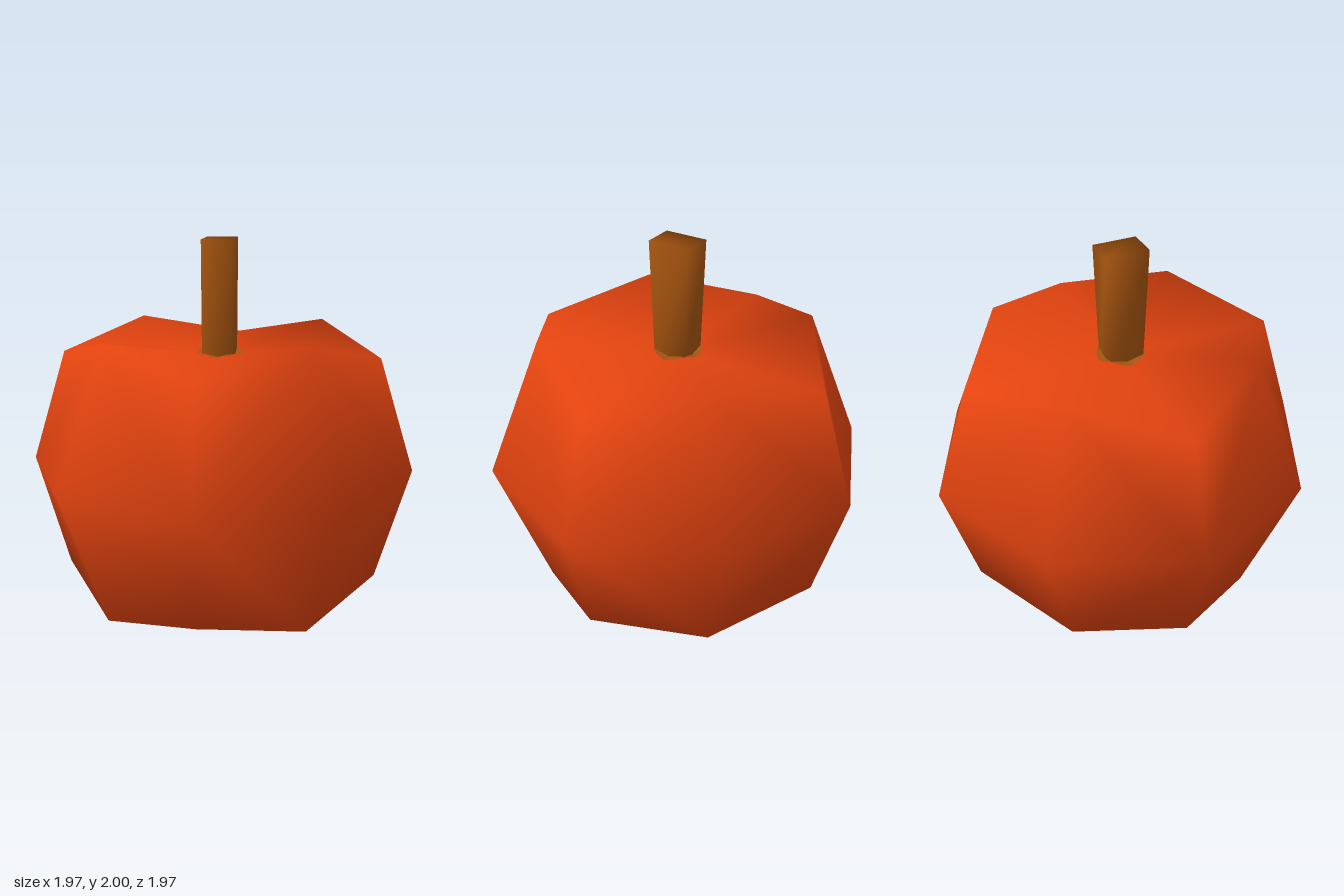
import * as THREE from 'three';

const skin = new THREE.MeshStandardMaterial({ color: 0xe2430f });
skin.name = 'orange skin';
const wood = new THREE.MeshStandardMaterial({ color: 0xa6540f });
wood.name = 'brown stem';

const MID = 0.845, DIP = 1.415;

// Rounded cube point: face centres, edge middles and corners by signs -1, 0, 1
function point(i, j, k) {
  const sides = Math.abs(i) + Math.abs(k);
  if (j === 0) {
    const r = sides === 2 ? 0.68 : 0.985;
    return [i * r, MID, k * r];
  }
  const r = sides === 2 ? 0.49 : 0.81;
  const rise = [j > 0 ? DIP - MID : MID, 0.572, 0.695][sides];
  return [i * r, MID + j * rise, k * r];
}

// Body: each of the six faces is a fan of eight triangles round its centre
function bodyGeometry() {
  const positions = [], index = [];
  const id = (p) => (p[0] + 1) * 9 + (p[1] + 1) * 3 + p[2] + 1;
  for (let i = -1; i <= 1; i++)
    for (let j = -1; j <= 1; j++)
      for (let k = -1; k <= 1; k++) positions.push(...point(i, j, k));
  const ring = [[1, 0], [1, 1], [0, 1], [-1, 1], [-1, 0], [-1, -1], [0, -1], [1, -1]];
  for (let axis = 0; axis < 3; axis++) {
    for (const sign of [-1, 1]) {
      const at = (u, v) => {
        const p = [0, 0, 0];
        p[axis] = sign;
        p[(axis + 1) % 3] = u;
        p[(axis + 2) % 3] = v;
        return id(p);
      };
      for (let n = 0; n < 8; n++) {
        const a = at(...ring[n]), b = at(...ring[(n + 1) % 8]);
        index.push(at(0, 0), ...(sign > 0 ? [a, b] : [b, a]));
      }
    }
  }
  const g = new THREE.BufferGeometry();
  g.setAttribute('position', new THREE.Float32BufferAttribute(positions, 3));
  g.setIndex(index);
  g.computeVertexNormals();
  return g;
}

// Stem: four-sided bar widening in depth towards the top, smooth across its edges
function stemGeometry() {
  const positions = [];
  for (const [y, w, d] of [[1.38, 0.078, 0.083], [2, 0.078, 0.111]])
    for (const [sx, sz] of [[1, 1], [1, -1], [-1, -1], [-1, 1]]) positions.push(sx * w, y, sz * d);
  const index = [4, 5, 6, 4, 6, 7, 0, 2, 1, 0, 3, 2];
  for (let n = 0; n < 4; n++) {
    const m = (n + 1) % 4;
    index.push(n, m, m + 4, n, m + 4, n + 4);
  }
  const g = new THREE.BufferGeometry();
  g.setAttribute('position', new THREE.Float32BufferAttribute(positions, 3));
  g.setIndex(index);
  g.computeVertexNormals();
  return g;
}

// Stem scar: thin round patch that follows the folds of the dip
function scarGeometry() {
  const g = new THREE.CircleGeometry(0.122, 16).rotateX(-Math.PI / 2);
  const p = g.attributes.position;
  for (let n = 0; n < p.count; n++)
    p.setY(n, DIP + 0.005 + 0.255 * Math.min(Math.abs(p.getX(n)), Math.abs(p.getZ(n))));
  g.computeVertexNormals();
  return g;
}

export function createModel() {
  const model = new THREE.Group();
  const add = (name, geometry, material) => {
    const mesh = new THREE.Mesh(geometry, material);
    mesh.name = name;
    model.add(mesh);
  };
  add('body', bodyGeometry(), skin);
  add('stem', stemGeometry(), wood);
  add('stemScar', scarGeometry(), wood);
  return model;
}
